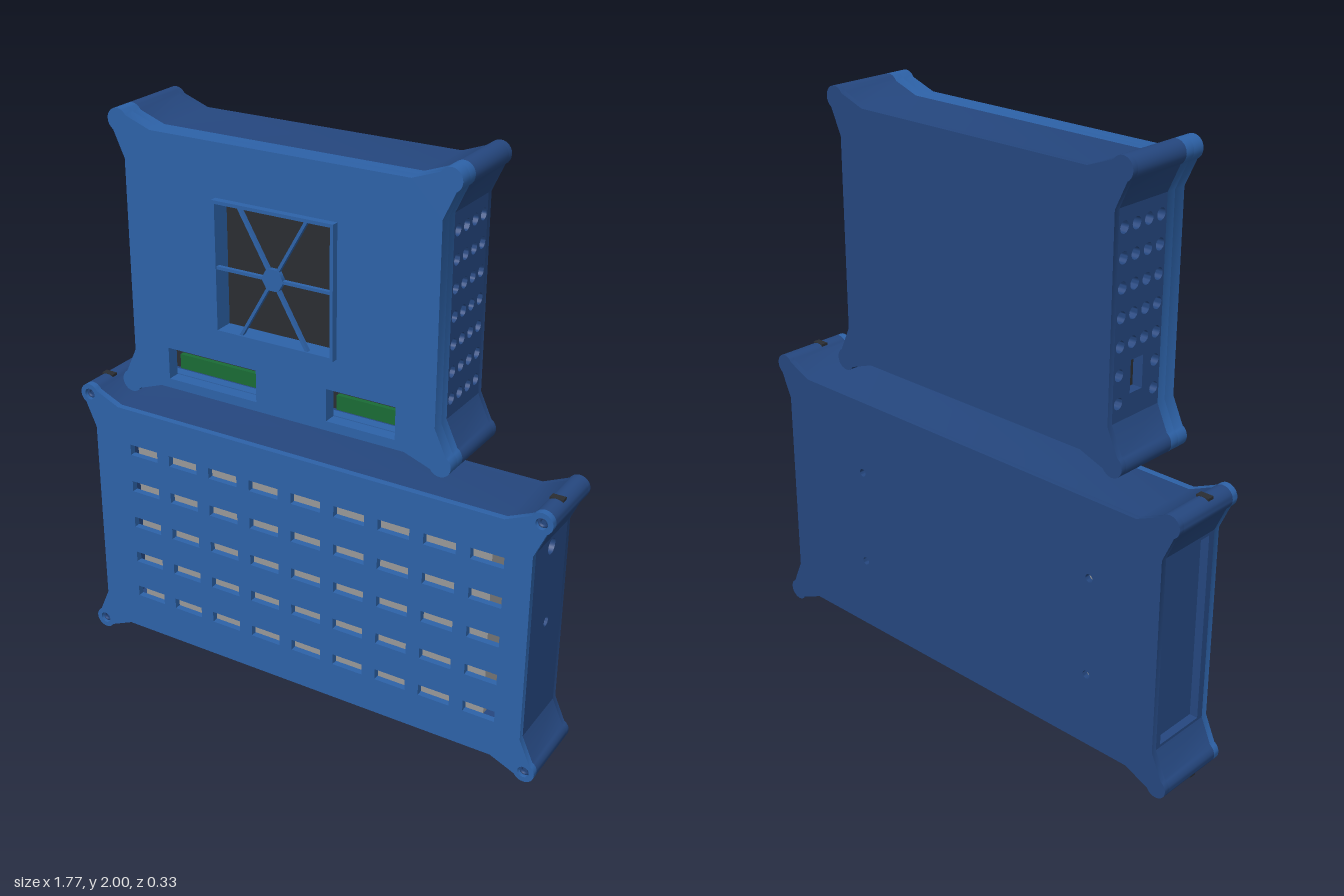
import * as THREE from 'three';
import { toCreasedNormals } from 'three/addons/utils/BufferGeometryUtils.js';

const mat = (color) => new THREE.MeshStandardMaterial({ color });
const LID = mat(0x2d62a8), BODY = mat(0x25477f), DARK = mat(0x2a2d32);
const GREEN = mat(0x1a6b35), GREY = mat(0x999999);
const BACK = -0.165, PLATE = 0.02, WALL = 0.035;

function add(parent, name, geometry, material, x = 0, y = 0, z = 0) {
  const mesh = new THREE.Mesh(geometry, material);
  mesh.name = name;
  mesh.position.set(x, y, z);
  parent.add(mesh);
  return mesh;
}

const box = (w, h, d) => new THREE.BoxGeometry(w, h, d);

function extrude(shape, depth) {
  const g = new THREE.ExtrudeGeometry(shape, { depth, bevelEnabled: false, curveSegments: 10 });
  return toCreasedNormals(g, 0.7);
}

function rect(x0, y0, x1, y1, Type = THREE.Path) {
  const p = new Type();
  p.moveTo(x0, y0);
  p.lineTo(x1, y0);
  p.lineTo(x1, y1);
  p.lineTo(x0, y1);
  p.closePath();
  return p;
}

function circle(x, y, r) {
  return new THREE.Path().absarc(x, y, r, 0, Math.PI * 2, true);
}

// One flared corner ending in a round screw post, q = 0..3 counterclockwise
function cornerPoints(s, q) {
  const sx = q === 0 || q === 3 ? 1 : -1, sy = q < 2 ? 1 : -1;
  const ends = [[sx * s.hx, sy * s.fy], [sx * s.fx, sy * s.hy]];
  if (q % 2) ends.reverse();
  const pts = [new THREE.Vector2(...ends[0])];
  for (let i = 0; i <= 14; i++) {
    const a = THREE.MathUtils.degToRad(-60 + 90 * q + 15 * i);
    pts.push(new THREE.Vector2(sx * s.cx + s.r * Math.cos(a), sy * s.cy + s.r * Math.sin(a)));
  }
  pts.push(new THREE.Vector2(...ends[1]));
  return pts;
}

const outline = (s) => new THREE.Shape([0, 1, 2, 3].flatMap((q) => cornerPoints(s, q)));

// Tray: back plate, top and bottom walls with corners, pierced side walls
function tray(parent, s, front, backHoles, leftHoles, rightHoles) {
  const back = outline(s);
  back.holes.push(...backHoles);
  add(parent, 'backPlate', extrude(back, PLATE), BODY, 0, 0, BACK);

  const z0 = BACK + PLATE, ix = s.hx - WALL, iy = s.hy - WALL;
  const cap = new THREE.Shape([
    ...cornerPoints(s, 0), ...cornerPoints(s, 1),
    new THREE.Vector2(-ix, s.fy), new THREE.Vector2(-ix, iy),
    new THREE.Vector2(ix, iy), new THREE.Vector2(ix, s.fy),
  ]);
  const capGeometry = extrude(cap, front - z0);
  add(parent, 'topWall', capGeometry, BODY, 0, 0, z0);
  add(parent, 'bottomWall', capGeometry, BODY, 0, 0, z0).rotation.z = Math.PI;

  for (const [name, x, holes] of [['leftWall', s.hx, leftHoles], ['rightWall', -ix, rightHoles]]) {
    const side = rect(z0, -s.fy, front, s.fy, THREE.Shape);
    side.holes.push(...holes);
    add(parent, name, extrude(side, WALL).rotateY(-Math.PI / 2), BODY, x);
  }
}

function lowerCase() {
  const g = new THREE.Group();
  g.name = 'lowerCase';
  g.position.y = 0.4975;
  const s = { hx: 0.83, hy: 0.44, fx: 0.73, fy: 0.34, cx: 0.85, cy: 0.46, r: 0.0375 };
  const front = 0.09;
  const mounts = [];
  for (const x of [0.46, -0.56]) for (const y of [-0.18, 0.17]) mounts.push(circle(x, y, 0.014));
  tray(g, s, front, mounts,
    [circle(-0.03, 0.305, 0.027), circle(-0.03, 0.03, 0.017)],
    [rect(-0.125, -0.33, 0.065, 0.33)]);
  add(g, 'sidePanel', box(0.012, 0.68, 0.2), BODY, -0.795, 0, -0.03);

  // Lid with a grid of vent slots and screw holes
  const lid = outline(s);
  for (let i = 0; i < 9; i++) {
    for (let j = 0; j < 5; j++) {
      const x = -0.627 + i * 0.1635, y = -0.286 + j * 0.1435;
      lid.holes.push(rect(x - 0.057, y - 0.02, x + 0.057, y + 0.02));
    }
  }
  for (const sx of [-1, 1]) {
    for (const sy of [-1, 1]) {
      lid.holes.push(circle(sx * s.cx, sy * s.cy, 0.02));
      const screw = new THREE.TorusGeometry(0.014, 0.006, 6, 20);
      add(g, 'screwSeat', screw, BODY, sx * s.cx, sy * s.cy, 0.098);
      add(g, 'nutSlot', box(0.045, 0.01, 0.025), DARK, sx * s.cx, sy * (s.cy + 0.0335), 0);
    }
  }
  add(g, 'ventedLid', extrude(lid, 0.023), LID, 0, 0, front);
  add(g, 'powerUnit', box(1.37, 0.68, 0.19), GREY, -0.015, 0, -0.045);
  return g;
}

function upperCase() {
  const g = new THREE.Group();
  g.name = 'upperCase';
  g.position.set(-0.055, 1.5185, 0);
  const s = { hx: 0.557, hy: 0.43, fx: 0.455, fy: 0.325, cx: 0.578, cy: 0.444, r: 0.0375 };
  const seam = 0.068, front = 0.145;

  // Round side vents; the right wall swaps four of them for a port
  const vents = (port) => {
    const holes = port ? [rect(-0.068, -0.25, -0.012, -0.145)] : [];
    for (let i = 0; i < 4; i++) {
      for (let j = 0; j < 7; j++) {
        if (port && j < 2 && (i === 1 || i === 2)) continue;
        holes.push(circle(-0.12 + i * 0.0545, -0.267 + j * 0.0888, 0.019));
      }
    }
    return holes;
  };
  tray(g, s, seam, [], vents(false), vents(true));

  // Deep lid: rim plus front plate with fan and connector openings
  const rim = outline(s);
  rim.holes.push(rect(-s.hx + WALL, -s.hy + WALL, s.hx - WALL, s.hy - WALL));
  add(g, 'lidRim', extrude(rim, 0.034), LID, 0, 0, seam);
  const plate = outline(s);
  const fanY = 0.038, fw = 0.216, fh = 0.218, t = 0.011;
  plate.holes.push(rect(-fw + t, fanY - fh + t, fw - t, fanY + fh - t));
  const slots = [[-0.42, -0.08], [0.18, 0.423]];
  for (const [a, b] of slots) plate.holes.push(rect(a, -0.398, b, -0.288));
  add(g, 'lidPlate', extrude(plate, front - 0.102), LID, 0, 0, 0.102);

  // Raised fan guard
  const frame = rect(-fw, fanY - fh, fw, fanY + fh, THREE.Shape);
  frame.holes.push(rect(-fw + t, fanY - fh + t, fw - t, fanY + fh - t));
  add(g, 'fanFrame', extrude(frame, 0.024), LID, 0, 0, front);
  const hub = new THREE.CylinderGeometry(0.04, 0.04, 0.016, 6).rotateX(Math.PI / 2);
  add(g, 'fanHub', hub.rotateZ(Math.PI / 6), LID, 0, fanY, 0.157);
  for (let i = 0; i < 3; i++) {
    const length = i ? 2 * (fh - t / 2) / Math.sin(Math.PI / 3) : 2 * fw - t;
    add(g, 'fanSpoke', box(length, 0.01, 0.014), LID, 0, fanY, 0.157).rotation.z = i * Math.PI / 3;
  }

  // Electronics inside
  add(g, 'electronicsBlock', box(1.0, 0.78, 0.16), DARK, 0, 0, -0.015);
  for (const [a, b] of slots) {
    add(g, 'connectorStrip', box(b - a, 0.05, 0.02), GREEN, (a + b) / 2, -0.359, 0.072);
  }
  return g;
}

export function createModel() {
  const model = new THREE.Group();
  model.name = 'enclosurePair';
  model.add(lowerCase(), upperCase());
  return model;
}
